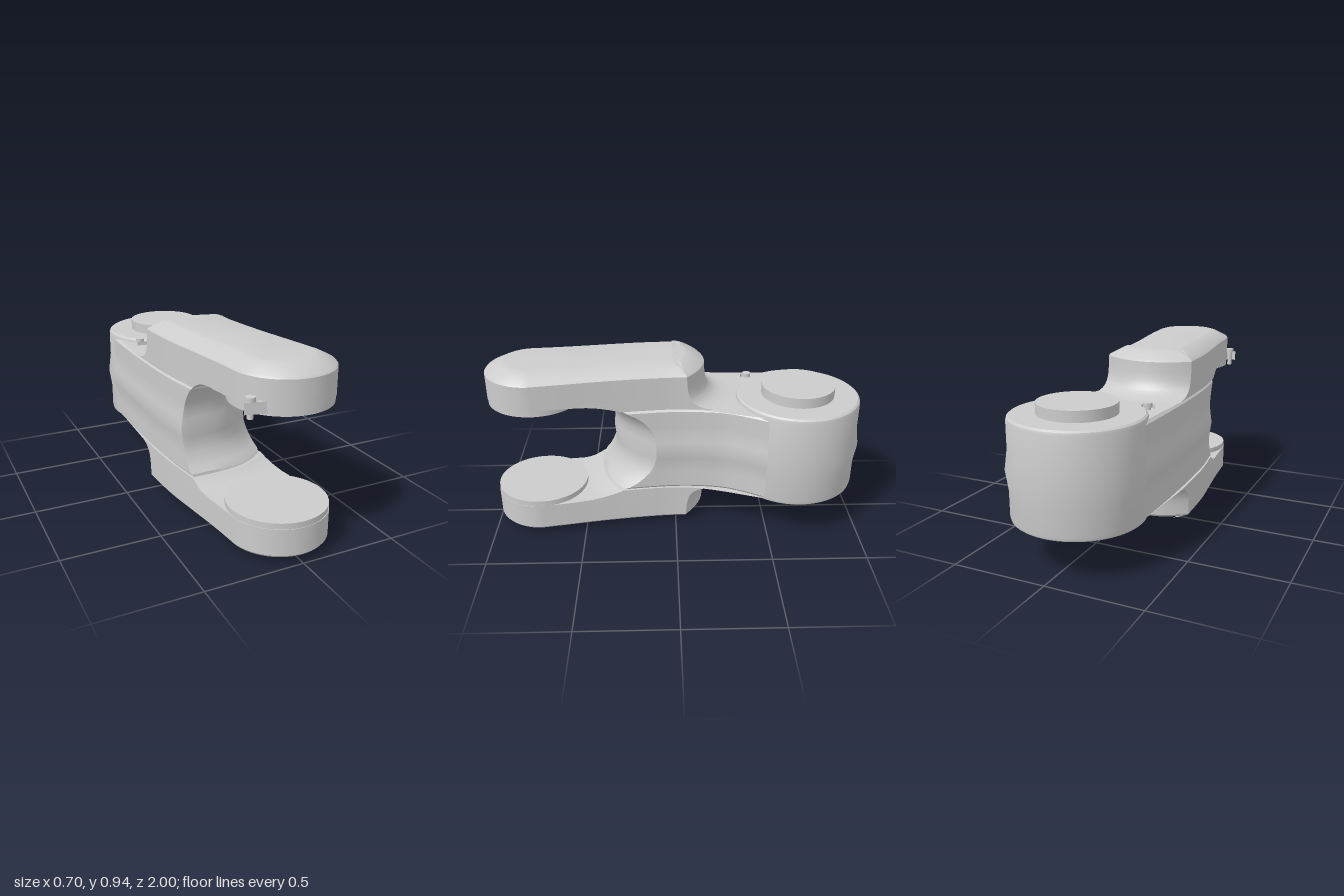
import * as THREE from 'three';
import { toCreasedNormals } from 'three/addons/utils/BufferGeometryUtils.js';

const material = new THREE.MeshStandardMaterial({ color: 0xcccccc });
const MID = 0.47;       // height of the mirror plane
const DRUM_Z = -0.66;   // rear joint axis
const FORK_Z = 0.745;   // front joint axis

// side edges of the link in plan, x as a smooth function of z
function edge(zs, xs) {
  const curve = new THREE.CubicInterpolant(zs, xs, 1);
  return (z) => curve.evaluate(z)[0];
}
const leftEdge = edge(
  [-0.66, -0.5, -0.3, 0, 0.2, 0.4, 0.6, 0.745],
  [-0.33, -0.334, -0.336, -0.33, -0.318, -0.292, -0.265, -0.25]);
const rightEdge = edge(
  [-0.66, -0.56, -0.48, -0.38, -0.27, -0.13, 0, 0.2, 0.4, 0.6, 0.745],
  [0.33, 0.315, 0.278, 0.223, 0.174, 0.15, 0.145, 0.162, 0.19, 0.225, 0.25]);

// plan outline at distance d from the mirror plane, counter-clockwise from above
function outline({ d, inset = 0, rear, gap }) {
  const SIDE = 36, END = 28, pts = [];
  const o = gap ? 1 - Math.sqrt(Math.max(0, 1 - Math.pow(d / 0.285, 2.4))) : 0;
  const frontL = gap ? 0.33 + 0.22 * o : FORK_Z;
  const frontR = gap ? 0.10 + 0.45 * o : FORK_Z;
  const back = rear === undefined ? DRUM_Z : rear + 0.1;
  const mix = THREE.MathUtils.lerp;
  for (let i = 0; i <= SIDE; i++) {
    const z = mix(back, frontL, i / SIDE);
    pts.push([leftEdge(z), z]);
  }
  for (let i = 1; i < END; i++) {   // rounded nose, or the wall of the fork gap
    const t = i / END, a = Math.PI * t;
    pts.push(gap
      ? [mix(leftEdge(frontL), rightEdge(frontR), t), mix(frontL, frontR, Math.pow(t, 3.5))]
      : [-0.25 * Math.cos(a), FORK_Z + 0.25 * Math.sin(a)]);
  }
  for (let i = 0; i <= SIDE; i++) {
    const z = mix(frontR, back, i / SIDE);
    pts.push([rightEdge(z), z]);
  }
  for (let i = 1; i < END; i++) {   // drum half circle, or the bowed shoulder
    const t = i / END, a = Math.PI * t;
    pts.push(rear === undefined
      ? [0.33 * Math.cos(a), DRUM_Z - 0.33 * Math.sin(a)]
      : [mix(rightEdge(back), leftEdge(back), t), back - 0.4 * t * (1 - t)]);
  }
  const n = pts.length;
  return pts.map(([x, z], i) => {
    const p = pts[(i + n - 1) % n], q = pts[(i + 1) % n];
    const tx = q[0] - p[0], tz = q[1] - p[1], l = Math.hypot(tx, tz) || 1;
    return [x + inset * tz / l, z - inset * tx / l];
  });
}

// the one-piece link: outlines stacked from the top cap to the bottom cap
function linkBody() {
  const half = [
    { d: 0.47, inset: 0.1, rear: -0.15 },
    { d: 0.463, inset: 0.075, rear: -0.15 },
    { d: 0.43, inset: 0.008, rear: -0.155 },
    { d: 0.42, rear: -0.157 },
    { d: 0.365, rear: -0.16 },
    { d: 0.33, rear: -0.165 },
    { d: 0.3, rear: -0.175 },
    { d: 0.285, rear: -0.185 },
    { d: 0.285, rear: -0.185, gap: true },
    { d: 0.28, rear: -0.19, gap: true },
    { d: 0.27, rear: -0.2, gap: true },
    { d: 0.255, rear: -0.225, gap: true },
    { d: 0.245, rear: -0.26, gap: true },
    { d: 0.24, rear: -0.31, gap: true },
    { d: 0.24, inset: 0.014, gap: true },
    { d: 0.225, gap: true },
  ];
  for (const d of [0.2, 0.17, 0.135, 0.1, 0.05])
    half.push({ d, gap: true, inset: -0.015 * Math.max(0, 1 - d / 0.1) });
  const rings = [
    ...half.map((s) => [MID + s.d, outline(s)]),
    [MID, outline({ d: 0, gap: true, inset: -0.015 })],
    ...half.slice().reverse().map((s) => [MID - s.d, outline(s)]),
  ];
  const n = rings[0][1].length, pos = [], index = [];
  rings.forEach(([y, pts]) => pts.forEach(([x, z]) => pos.push(x, y, z)));
  for (let r = 0; r < rings.length - 1; r++) {
    for (let i = 0; i < n; i++) {
      const j = (i + 1) % n, a = r * n, b = a + n;
      index.push(a + i, b + i, b + j, a + i, b + j, a + j);
    }
  }
  const base = (rings.length - 1) * n;
  const cap = rings[0][1].map(([x, z]) => new THREE.Vector2(x, -z));
  for (const [a, b, c] of THREE.ShapeUtils.triangulateShape(cap, [])) {
    index.push(a, b, c, base + a, base + c, base + b);
  }
  const geo = new THREE.BufferGeometry();
  geo.setAttribute('position', new THREE.Float32BufferAttribute(pos, 3));
  geo.setIndex(index);
  return toCreasedNormals(geo, 0.5);
}

function add(parent, name, geo, x = 0, y = 0, z = 0) {
  const mesh = new THREE.Mesh(geo, material);
  mesh.name = name;
  mesh.position.set(x, y, z);
  parent.add(mesh);
  return mesh;
}

function turned(points, segments = 72) {
  const profile = points.map(([r, y]) => new THREE.Vector2(r, y));
  return toCreasedNormals(new THREE.LatheGeometry(profile, segments), 0.5);
}

// flat lug with a screw; root holds the two plan points where it meets the link
function screwLug(name, x, z, y, height, root, screwLow, screwHigh) {
  const group = new THREE.Group();
  group.name = name;
  const a0 = Math.atan2(-(root[1][1] - z), root[1][0] - x) + 0.9;
  const shape = new THREE.Shape();
  shape.moveTo(root[0][0], -root[0][1]);
  shape.lineTo(root[1][0], -root[1][1]);
  shape.lineTo(x + 0.035 * Math.cos(a0 - 1.9), -z + 0.035 * Math.sin(a0 - 1.9));
  shape.absarc(x, -z, 0.035, a0 - 1.9, a0 - 5.2, true);
  const geo = new THREE.ExtrudeGeometry(shape, { depth: height, bevelEnabled: false, curveSegments: 16 });
  geo.rotateX(-Math.PI / 2);
  add(group, 'lug', geo, 0, y, 0);
  add(group, 'screwShank', new THREE.CylinderGeometry(0.014, 0.014, screwHigh - screwLow, 20), x, (screwLow + screwHigh) / 2, z);
  add(group, 'screwHead', new THREE.CylinderGeometry(0.023, 0.023, 0.022, 24), x, screwHigh - 0.011, z);
  return group;
}

export function createModel() {
  const model = new THREE.Group();
  model.name = 'armLink';
  add(model, 'linkBody', linkBody());

  // rear joint drum with its raised boss
  add(model, 'jointDrum', turned([
    [0, 0.22], [0.318, 0.22], [0.328, 0.228], [0.332, 0.245], [0.332, 0.37], [0.346, 0.47],
    [0.332, 0.57], [0.332, 0.708], [0.328, 0.722], [0.318, 0.73], [0, 0.73],
  ], 96), 0, 0, DRUM_Z);
  add(model, 'drumBoss', new THREE.CylinderGeometry(0.195, 0.195, 0.065, 72), 0, 0.7525, DRUM_Z);

  // facing pads of the fork: a ring above, a solid disc below
  add(model, 'upperPad', turned([[0.135, 0.76], [0.135, 0.725], [0.247, 0.725], [0.247, 0.76]]), 0, 0, FORK_Z);
  add(model, 'lowerPad', turned([[0.247, 0.18], [0.247, 0.215], [0, 0.215]]), 0, 0, FORK_Z);

  // locking lugs at both joints
  model.add(screwLug('frontLug', -0.235, 0.89, 0.735, 0.055, [[-0.15, 0.93], [-0.22, 0.79]], 0.71, 0.81));
  model.add(screwLug('rearLug', -0.245, -0.41, 0.705, 0.024, [[-0.12, -0.37], [-0.28, -0.52]], 0.71, 0.745));
  return model;
}
